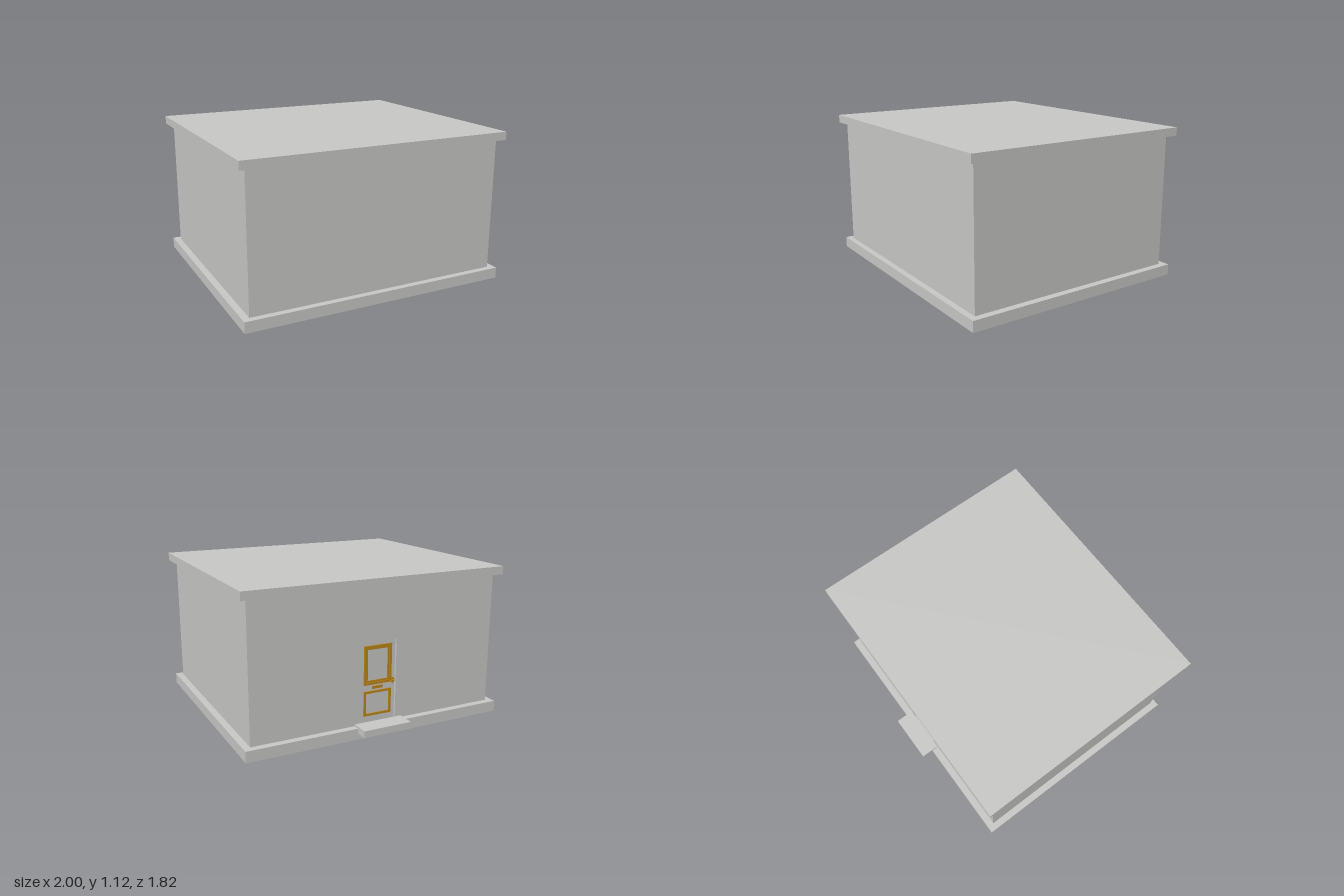
import * as THREE from 'three';

export function createModel() {
  const model = new THREE.Group();
  model.name = 'building';
  const stone = new THREE.MeshStandardMaterial({ color: 0xc8c8c6 });
  stone.name = 'pale grey';
  const brass = new THREE.MeshStandardMaterial({ color: 0xbd861c });
  brass.name = 'brass';

  const add = (name, geometry, material, parent = model) => {
    const mesh = new THREE.Mesh(geometry, material);
    mesh.name = name;
    parent.add(mesh);
    return mesh;
  };
  // Box given by its extents on each axis
  const box = (name, [x0, x1], [y0, y1], [z0, z1], material, parent) => {
    const mesh = add(name, new THREE.BoxGeometry(x1 - x0, y1 - y0, z1 - z0), material, parent);
    mesh.position.set((x0 + x1) / 2, (y0 + y1) / 2, (z0 + z1) / 2);
    return mesh;
  };
  const rectangle = (Type, x0, x1, y0, y1) => new Type([
    new THREE.Vector2(x0, y0), new THREE.Vector2(x1, y0),
    new THREE.Vector2(x1, y1), new THREE.Vector2(x0, y1),
  ]);

  // Plinth, walls and roof slab
  box('plinth', [-1, 1], [0, 0.08], [-0.82, 0.91], stone);
  box('walls', [-0.95, 0.95], [0.08, 1.055], [-0.745, 0.865], stone);
  box('roofSlab', [-1, 1], [1.055, 1.115], [-0.82, 0.91], stone);

  // Outer skin of the back wall, notched for the doorway
  const skin = new THREE.Shape([
    [-0.95, 0.08], [-0.14, 0.08], [-0.14, 0.67], [0.14, 0.67],
    [0.14, 0.08], [0.95, 0.08], [0.95, 1.055], [-0.95, 1.055],
  ].map(([x, y]) => new THREE.Vector2(x, y)));
  add('backWall', new THREE.ExtrudeGeometry(skin, { depth: 0.025, bevelEnabled: false }), stone)
    .position.z = -0.77;

  // Doorstep
  box('doorstep', [-0.185, 0.185], [0.045, 0.095], [-0.91, -0.775], stone);

  // Door set back in the opening
  const door = new THREE.Group();
  door.name = 'door';
  model.add(door);
  box('doorLeaf', [-0.14, 0.14], [0.08, 0.67], [-0.753, -0.745], stone, door);

  // Rectangular moulding standing proud of the door leaf
  const moulding = (name, half, y0, y1, width, proud) => {
    const shape = rectangle(THREE.Shape, -half, half, y0, y1);
    shape.holes.push(rectangle(THREE.Path, -half + width, half - width, y0 + width, y1 - width));
    const geometry = new THREE.ExtrudeGeometry(shape, { depth: proud, bevelEnabled: false });
    add(name, geometry, brass, door).position.z = -0.753 - proud;
  };
  moulding('upperOuterMoulding', 0.108, 0.36, 0.64, 0.016, 0.012);
  moulding('upperInnerMoulding', 0.092, 0.376, 0.624, 0.013, 0.006);
  moulding('lowerMoulding', 0.108, 0.132, 0.312, 0.016, 0.01);

  // Letter slot and handle
  box('letterSlot', [-0.04, 0.04], [0.326, 0.346], [-0.761, -0.753], brass, door);
  box('handlePlate', [-0.132, -0.116], [0.345, 0.385], [-0.759, -0.753], brass, door);
  box('handleLever', [-0.13, -0.09], [0.362, 0.372], [-0.775, -0.767], brass, door);
  box('handleStem', [-0.129, -0.119], [0.362, 0.372], [-0.767, -0.759], brass, door);

  return model;
}
